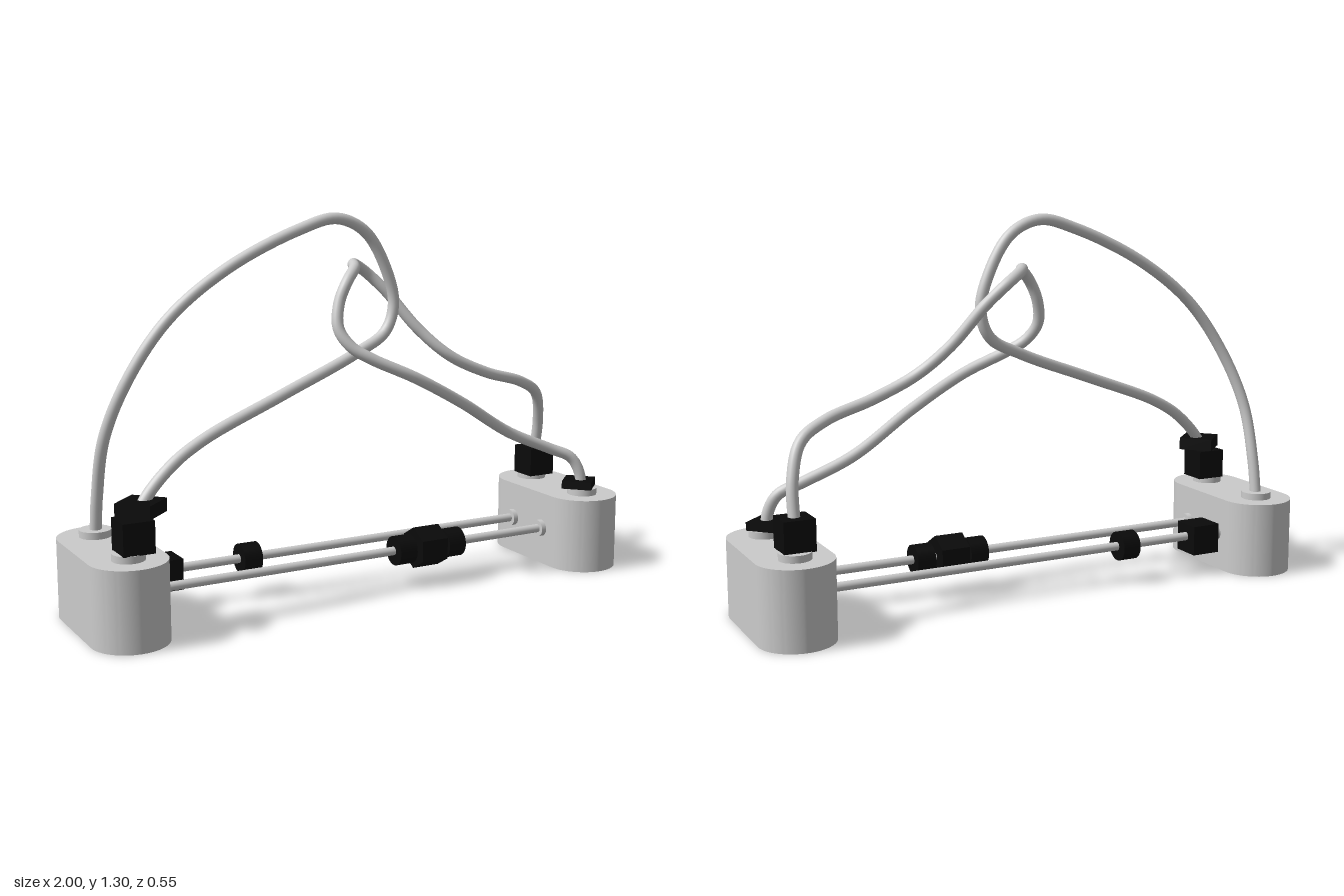
import * as THREE from 'three';
import { toCreasedNormals } from 'three/addons/utils/BufferGeometryUtils.js';

const grey = new THREE.MeshStandardMaterial({ color: 0xcccccc });
const black = new THREE.MeshStandardMaterial({ color: 0x0a0a0a });

export function createModel() {
  const model = new THREE.Group();

  function add(name, geometry, material, x = 0, y = 0, z = 0) {
    const mesh = new THREE.Mesh(geometry, material);
    mesh.name = name;
    mesh.position.set(x, y, z);
    model.add(mesh);
    return mesh;
  }
  // Cylinder lying along x
  const barX = (r, length, sides = 32) =>
    new THREE.CylinderGeometry(r, r, length, sides).rotateZ(Math.PI / 2);

  // End blocks: stadium outline extruded upwards
  const R = 0.127, C = 0.15, H = 0.264;
  const outline = new THREE.Shape();
  outline.absarc(0, C, R, 0, Math.PI, false);
  outline.absarc(0, -C, R, Math.PI, Math.PI * 2, false);
  outline.closePath();
  const block = toCreasedNormals(
    new THREE.ExtrudeGeometry(outline, { depth: H, bevelEnabled: false, curveSegments: 24 })
      .rotateX(-Math.PI / 2), 0.6);

  const rodY = 0.134;
  const rodZ = [-0.09, 0.085];
  for (const side of [-1, 1]) {
    add('endBlock', block, grey, side * 0.873, 0, 0);
    for (const z of [-0.155, 0.155])
      add('topCollar', new THREE.CylinderGeometry(0.053, 0.053, 0.033, 32), grey, side * 0.873, 0.271, z);
    for (const z of rodZ)
      add('rodCollar', barX(0.03, 0.03), grey, side * 0.743, rodY, z);
  }

  // Two straight rods between the blocks
  for (const z of rodZ) add('rod', barX(0.015, 1.5, 24), grey, 0, rodY, z);

  // Fittings on the rods
  add('backRodCube', new THREE.BoxGeometry(0.105, 0.105, 0.105), black, -0.668, 0.127, rodZ[0]);
  add('backRodSleeve', barX(0.051, 0.066), black, -0.358, rodY, rodZ[0]);
  add('frontRodSleeve', barX(0.051, 0.066), black, 0.149, rodY, rodZ[1]);
  add('frontRodSleeve', barX(0.051, 0.066), black, 0.348, rodY, rodZ[1]);
  const nut = new THREE.CylinderGeometry(0.073, 0.073, 0.102, 6).toNonIndexed();
  nut.computeVertexNormals();
  // One corner of the hexagon points straight up
  add('hexNut', nut.rotateY(Math.PI / 2).rotateZ(Math.PI / 2), black, 0.246, rodY, rodZ[1]);

  // Fittings on the blocks
  add('leftCube', new THREE.BoxGeometry(0.104, 0.104, 0.104), black, 0.863, 0.338, -0.128);
  add('rightCube', new THREE.BoxGeometry(0.104, 0.104, 0.104), black, -0.854, 0.338, 0.152);
  add('rightPlate', new THREE.BoxGeometry(0.12, 0.043, 0.12), black, -0.825, 0.421, 0.145)
    .rotation.y = 0.76;
  add('leftPlate', new THREE.BoxGeometry(0.106, 0.028, 0.106), black, 0.862, 0.303, 0.149)
    .rotation.y = 0.76;

  // Two interlocking bent tubes
  function tube(name, points) {
    const curve = new THREE.CatmullRomCurve3(points.map(p => new THREE.Vector3(...p)));
    add(name, new THREE.TubeGeometry(curve, 160, 0.0195, 20), grey);
  }
  tube('rightLoop', [
    [-0.872, 0.27, -0.155], [-0.87, 0.4, -0.135], [-0.855, 0.6, -0.09],
    [-0.78, 0.8, -0.045], [-0.65, 0.98, -0.022], [-0.45, 1.13, -0.01],
    [-0.2, 1.245, 0], [-0.06, 1.278, 0], [0.05, 1.23, 0], [0.135, 1.09, 0],
    [0.16, 0.98, 0], [0.125, 0.89, 0.004], [0, 0.825, 0.022],
    [-0.3, 0.715, 0.068], [-0.6, 0.602, 0.108], [-0.72, 0.53, 0.125],
    [-0.82, 0.425, 0.14], [-0.853, 0.33, 0.15],
  ]);
  tube('leftLoop', [
    [0.87, 0.28, 0.155], [0.86, 0.345, 0.153], [0.83, 0.4, 0.14],
    [0.75, 0.437, 0.12], [0.58, 0.51, 0.107], [0.35, 0.645, 0.142],
    [0.15, 0.75, 0.16], [0, 0.82, 0.128], [-0.06, 0.86, 0.1],
    [-0.092, 0.92, 0.07], [-0.08, 1.0, 0.051], [-0.045, 1.07, 0.042],
    [0, 1.11, 0.012], [0.03, 1.118, -0.05], [0.07, 1.113, -0.11],
    [0.13, 1.083, -0.143], [0.2, 1.015, -0.123], [0.3, 0.88, -0.065],
    [0.4, 0.785, -0.014], [0.55, 0.715, -0.004], [0.72, 0.665, -0.03],
    [0.815, 0.61, -0.062], [0.857, 0.5, -0.1], [0.865, 0.35, -0.135],
  ]);

  return model;
}
